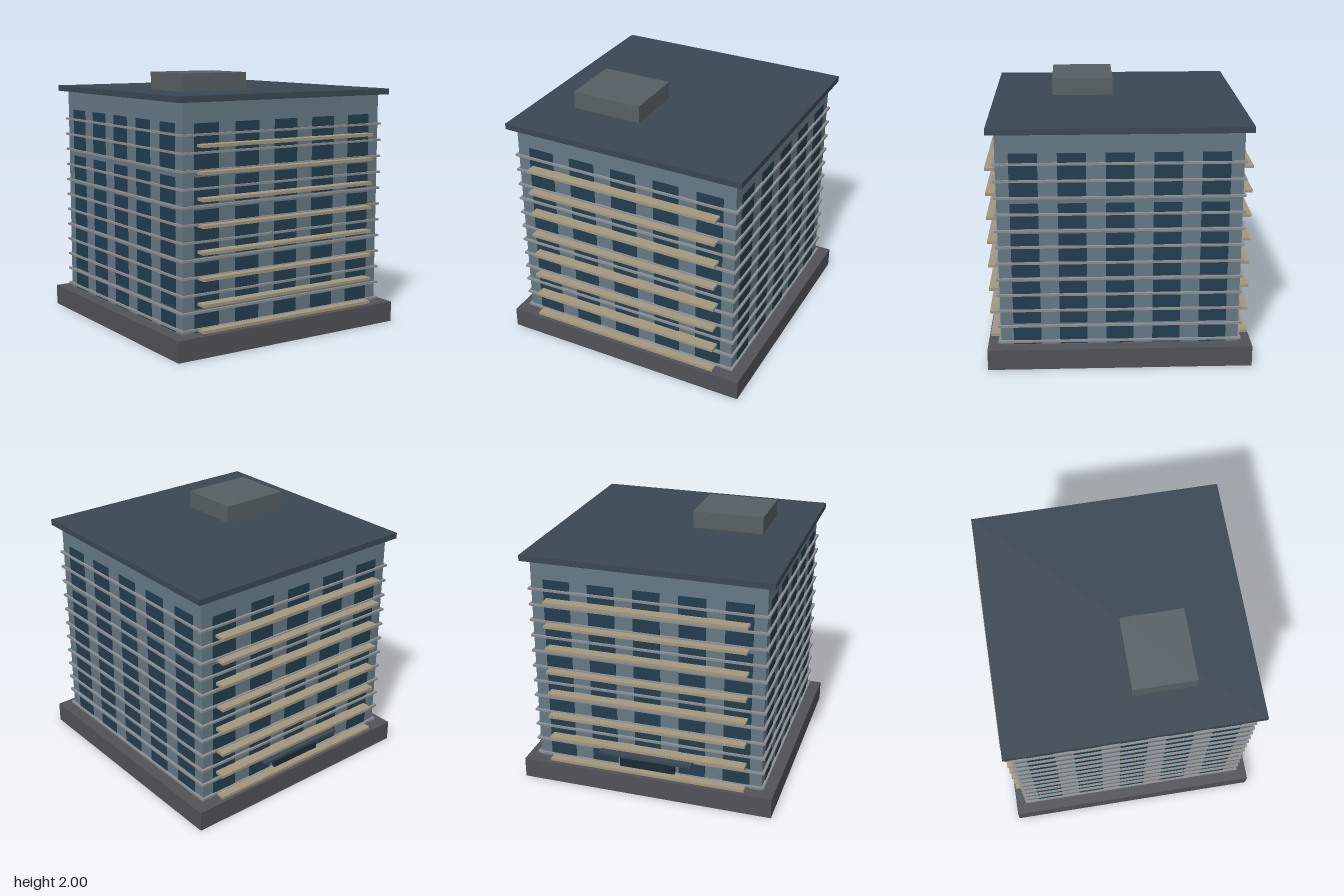
import * as THREE from 'three';

const mat = (color) => new THREE.MeshStandardMaterial({ color });

export function createModel() {
  const root = new THREE.Group();
  root.name = 'apartmentBlock';
  const wall = mat(0x667985), roofMat = mat(0x3a4753), baseMat = mat(0x505258);
  const glass = mat(0x233d4e), ledgeMat = mat(0x8b8d90), slabMat = mat(0xa3977f);
  const plantMat = mat(0x566064), doorMat = mat(0x1b2a36);

  // box given by its lower and upper corners
  const box = (name, material, [x0, y0, z0], [x1, y1, z1], parent = root) => {
    const m = new THREE.Mesh(new THREE.BoxGeometry(x1 - x0, y1 - y0, z1 - z0), material);
    m.position.set((x0 + x1) / 2, (y0 + y1) / 2, (z0 + z1) / 2);
    m.name = name;
    parent.add(m);
    return m;
  };

  // main masses
  box('plinth', baseMat, [-1, 0, -1], [1, 0.16, 1]);
  box('body', wall, [-0.9, 0.16, -0.9], [0.9, 1.82, 0.9]);
  box('roofSlab', roofMat, [-0.96, 1.82, -0.96], [0.96, 1.865, 0.96]);
  box('rooftopPlantRoom', plantMat, [-0.64, 1.865, 0.02], [-0.08, 2, 0.5]);

  // ledges running round the body
  for (let i = 0; i < 12; i++) {
    const y = 0.19 + i * 0.1273;
    box('ledge', ledgeMat, [-0.92, y - 0.008, -0.92], [0.92, y + 0.008, 0.92]);
  }

  // windows: five columns on each of the four sides
  const rows = [[0.165, 0.3], [0.338, 0.676], [0.714, 1.056], [1.095, 1.29], [1.335, 1.67]];
  for (let side = 0; side < 4; side++) {
    const facade = new THREE.Group();
    facade.name = 'windows';
    facade.rotation.y = side * Math.PI / 2;
    for (let c = -2; c <= 2; c++) {
      for (const [y0, y1] of rows) {
        box('window', glass, [c * 0.35 - 0.104, y0, 0.89], [c * 0.35 + 0.104, y1, 0.904], facade);
      }
    }
    root.add(facade);
  }

  // long balcony slabs on front and back
  for (const s of [1, -1]) {
    for (let i = 0; i < 8; i++) {
      const y = 0.185 + i * 0.19;
      const slab = box('balconySlab', slabMat, [-0.78, y - 0.011, 0.9], [0.78, y + 0.011, 0.988]);
      slab.position.z *= s;
    }
  }

  // back entrance with canopy
  box('entranceDoor', doorMat, [-0.22, 0.16, -0.935], [0.22, 0.305, -0.89]);
  box('entranceCanopy', roofMat, [-0.37, 0.312, -1], [0.37, 0.335, -0.89]);

  return root;
}
